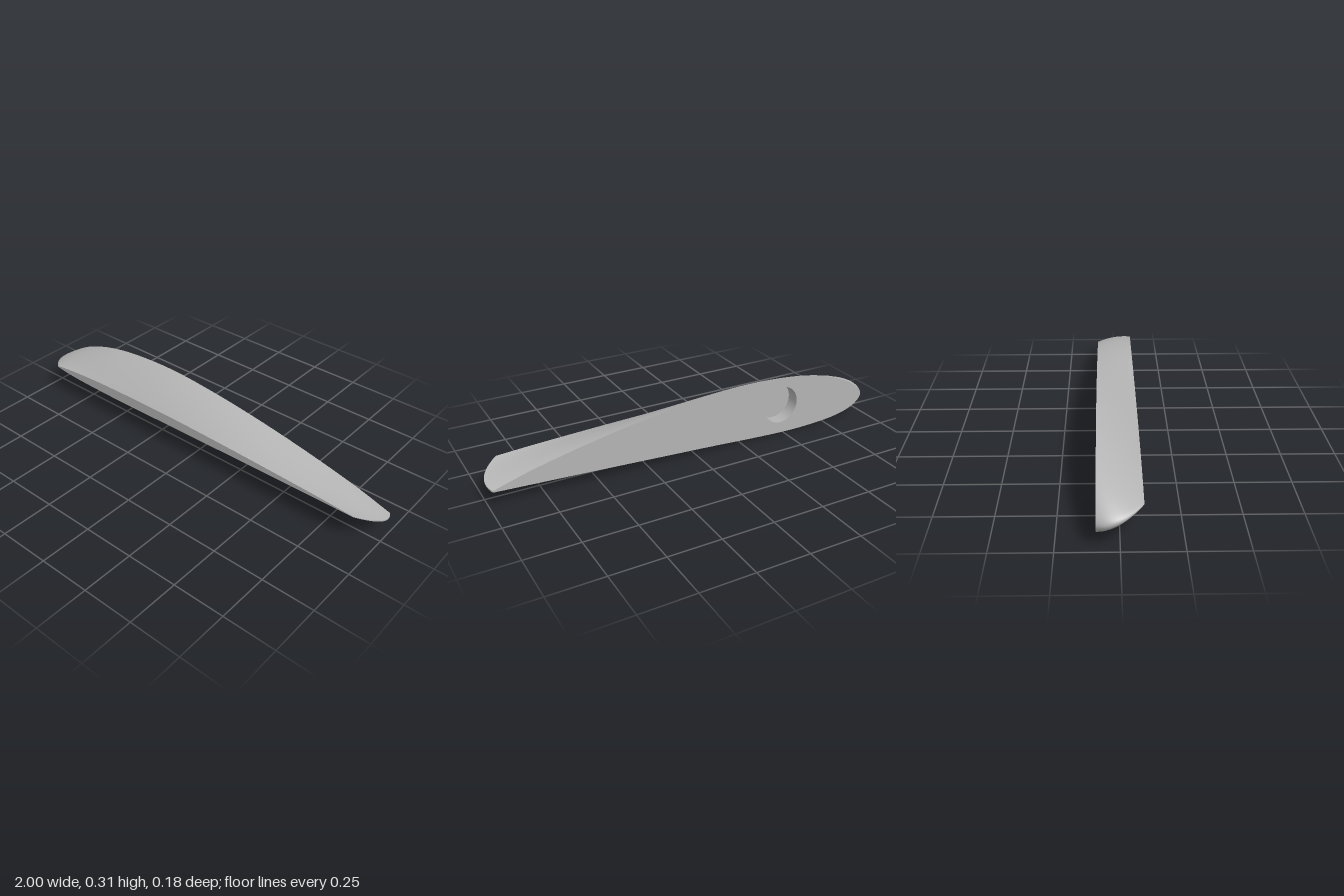
import * as THREE from 'three';

const Z_BACK = -0.092, Z_FRONT = 0.092;
const RING = 120, STEPS = 28;

// Airfoil from trailing edge over the top, round the nose and back underneath:
// [chord fraction, root height, tip height]
const PROFILE = [
  [1, 0.088, 0.148], [0.9, 0.146, 0.159], [0.7, 0.23, 0.175], [0.5, 0.288, 0.186],
  [0.35, 0.308, 0.188], [0.2, 0.288, 0.184], [0.1, 0.24, 0.175], [0.03, 0.175, 0.164],
  [0, 0.11, 0.154], [0.02, 0.056, 0.146], [0.07, 0.021, 0.138], [0.2, 0.001, 0.132],
  [0.5, 0.029, 0.137], [0.75, 0.055, 0.142], [1, 0.08, 0.146],
];
const curve = new THREE.CatmullRomCurve3(PROFILE.map(p => new THREE.Vector3(...p)), false, 'centripetal');
const samples = curve.getPoints(RING);

// Cross-section at t = 0 (root, back) to 1 (tip, front)
function section(t) {
  const bulge = 0.106 * t - 0.181 * t * t;
  const nose = -0.985 - bulge, tail = 0.982 + bulge;
  const rootWeight = (1 - t) + 0.3 * t * (1 - t);
  return samples.map(p => new THREE.Vector2(
    nose + (tail - nose) * p.x,
    p.z + (p.y - p.z) * rootWeight,
  ));
}

// Surface through equal-length rows of points placed from back to front
function loft(rows) {
  const n = rows[0].length, positions = [], index = [];
  rows.forEach((row, j) => {
    const z = Z_BACK + (Z_FRONT - Z_BACK) * j / (rows.length - 1);
    row.forEach(p => positions.push(p.x, p.y, z));
  });
  for (let j = 0; j < rows.length - 1; j++) {
    for (let i = 0; i < n - 1; i++) {
      const a = j * n + i;
      index.push(a, a + 1, a + n, a + 1, a + n + 1, a + n);
    }
  }
  const g = new THREE.BufferGeometry();
  g.setAttribute('position', new THREE.Float32BufferAttribute(positions, 3));
  g.setIndex(index);
  g.computeVertexNormals();
  return g;
}

export function createModel() {
  const group = new THREE.Group();
  group.name = 'wingTip';
  const grey = new THREE.MeshStandardMaterial({ color: 0xb4b4b4, side: THREE.DoubleSide });
  grey.name = 'grey';
  const add = (name, geometry) => {
    const mesh = new THREE.Mesh(geometry, grey);
    mesh.name = name;
    group.add(mesh);
    return mesh;
  };

  // Curved skin and blunt trailing edge
  const rows = Array.from({ length: STEPS + 1 }, (_, j) => section(j / STEPS));
  add('skin', loft(rows));
  add('trailingEdge', loft(rows.map(r => [r[RING], r[0]])));

  // Flat tip face at the front
  add('tipFace', new THREE.ShapeGeometry(new THREE.Shape(rows[STEPS])).translate(0, 0, Z_FRONT));

  // Flat root face at the back, with a blind round socket
  const hole = { x: -0.48, y: 0.155, r: 0.095, depth: 0.068 };
  const root = new THREE.Shape(rows[0].map(p => new THREE.Vector2(-p.x, p.y)));
  root.holes.push(new THREE.Path().absarc(-hole.x, hole.y, hole.r, 0, Math.PI * 2, true));
  add('rootFace', new THREE.ShapeGeometry(root, 24).rotateY(Math.PI).translate(0, 0, Z_BACK));

  const wall = new THREE.CylinderGeometry(hole.r, hole.r, hole.depth, 48, 1, true).rotateX(Math.PI / 2);
  add('socketWall', wall).position.set(hole.x, hole.y, Z_BACK + hole.depth / 2);
  const floor = new THREE.CircleGeometry(hole.r, 48).rotateY(Math.PI);
  add('socketFloor', floor).position.set(hole.x, hole.y, Z_BACK + hole.depth);

  return group;
}
